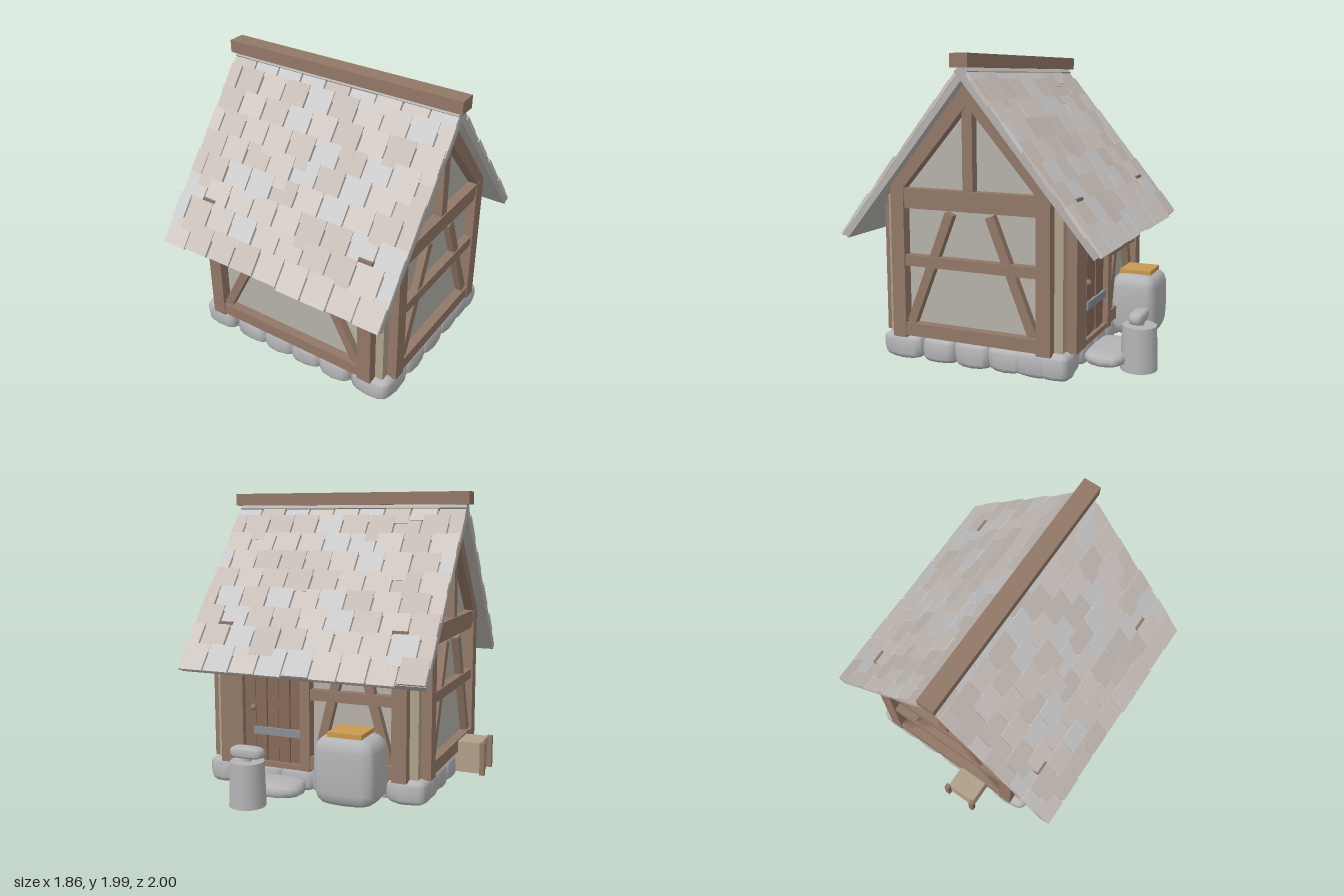
import * as THREE from 'three';
import { mergeVertices } from 'three/addons/utils/BufferGeometryUtils.js';

const mat = (color) => new THREE.MeshStandardMaterial({ color, roughness: 0.9 });
const timber = mat(0x927867), tan = mat(0xb0a08a), plaster = mat(0xb5b1a9), stoneMat = mat(0xb4b4b6);
const slate = [0xcfc6c0, 0xc6bdb7, 0xd0c8c3, 0xc5c6c3, 0xc9c0ba].map(mat);
const slabMat = mat(0xb4b1ad), iron = mat(0x8a8d92), doorWood = mat(0x85695a), plankMat = mat(0xc89a50);
const floorMat = mat(0x999999);

let seed = 7;
const rnd = () => (seed = (seed * 16807) % 2147483647) / 2147483647;
const points = (list) => list.map((p) => new THREE.Vector2(...p));

function add(parent, name, geo, material, x = 0, y = 0, z = 0) {
  const m = new THREE.Mesh(geo, material);
  m.name = name;
  m.position.set(x, y, z);
  parent.add(m);
  return m;
}

// Box given by its limits on each axis
function box(parent, name, material, [x0, x1], [y0, y1], [z0, z1]) {
  return add(parent, name, new THREE.BoxGeometry(x1 - x0, y1 - y0, z1 - z0), material,
    (x0 + x1) / 2, (y0 + y1) / 2, (z0 + z1) / 2);
}

// Rounded block: a sphere pushed towards a box, with slight irregularity
function stone(parent, name, w, h, d, x, y, z, jitter = 0.05, power = 0.5) {
  let g = new THREE.SphereGeometry(1, 16, 10);
  g.deleteAttribute('uv');
  g.deleteAttribute('normal');
  g = mergeVertices(g, 1e-4);
  const p = g.attributes.position, ph = rnd() * 6;
  const push = (v) => Math.sign(v) * Math.pow(Math.abs(v), power);
  for (let i = 0; i < p.count; i++) {
    const a = push(p.getX(i)), b = push(p.getY(i)), c = push(p.getZ(i));
    const k = 1 - jitter * (1 + Math.sin(a * 3 + ph) * Math.cos(b * 2 + c * 3 + ph)) / 2;
    p.setXYZ(i, a * k * w / 2, b * k * h / 2, c * k * d / 2);
  }
  g.computeVertexNormals();
  return add(parent, name, g, stoneMat, x, y, z);
}

// Slanted brace from one point to another on a wall panel
function brace(parent, x0, y0, x1, y1, width = 0.06) {
  const len = Math.hypot(x1 - x0, y1 - y0);
  const m = add(parent, 'brace', new THREE.BoxGeometry(width, len, 0.05), timber, (x0 + x1) / 2, (y0 + y1) / 2, 0.025);
  m.rotation.z = -Math.atan2(x1 - x0, y1 - y0);
}

// Timber frame: outer posts, sill, middle rail and top beam; z = 0 is the wall face
function frame(parent, name, outer, inner, top, from = -inner) {
  const g = new THREE.Group();
  g.name = name;
  parent.add(g);
  for (const s of [-1, 1]) {
    const [a, b] = [s * inner, s * outer].sort((p, q) => p - q);
    box(g, 'post', timber, [a, b], [0.165, top], [0, 0.07]);
  }
  box(g, 'sillBeam', timber, [from, inner], [0.18, 0.265], [0, 0.065]);
  box(g, 'middleRail', timber, [from, inner], [0.645, 0.715], [0, 0.06]);
  box(g, 'topBeam', timber, [-inner, inner], [1.02, 1.06], [0, 0.055]);
  return g;
}

function gable(parent, side) {
  const g = frame(parent, 'gableFrame', 0.555, 0.46, 1.15);
  box(g, 'tieBeam', timber, [-0.46, 0.46], [1.06, 1.15], [0, 0.065]);
  for (const s of [-1, 1]) brace(g, s * 0.43, 0.27, s * 0.14, 1.0);
  const tri = new THREE.Shape(points([[-0.555, 1.14], [0.555, 1.14], [0.555, 1.16], [0.022, 1.8], [0, 1.775], [-0.022, 1.8], [-0.555, 1.16]]));
  tri.holes.push(new THREE.Path(points([[-0.46, 1.15], [0, 1.68], [0.46, 1.15]])));
  add(g, 'rafters', new THREE.ExtrudeGeometry(tri, { depth: 0.068, bevelEnabled: false }), timber);
  box(g, 'kingPost', timber, [-0.035, 0.035], [1.14, 1.7], [0, 0.06]);
  g.position.x = side * 0.72;
  g.rotation.y = side * Math.PI / 2;
}

// One roof slope in its own plane: z runs down from the ridge, y points outwards
function roofSlope(parent, turn) {
  const turnGroup = new THREE.Group();
  turnGroup.name = 'roofSlope';
  turnGroup.rotation.y = turn;
  turnGroup.position.y = 1.922;
  parent.add(turnGroup);
  const g = new THREE.Group();
  g.name = 'slopePlane';
  g.rotation.x = Math.atan2(1.09, 0.91);
  turnGroup.add(g);
  box(g, 'roofBoard', slabMat, [-0.85, 0.85], [-0.061, -0.015], [0, 1.4]);
  const rows = 9, step = 0.157, w = 0.19, half = 0.855;
  for (let r = 0; r < rows; r++) {
    for (let c = -1; c < 10; c++) {
      const x0 = Math.max(-half, -half + (c + (r % 2) * 0.5) * w + 0.006);
      const x1 = Math.min(half, -half + (c + 1 + (r % 2) * 0.5) * w - 0.006);
      if (x1 - x0 < 0.03) continue;
      const end = Math.min(1.415, (r + 1) * step + (rnd() - 0.4) * 0.06);
      const start = r ? r * step - 0.04 : -0.015;
      const m = box(g, 'shingle', slate[Math.floor(rnd() * 5)], [x0, x1], [-0.02, -0.002 + rnd() * 0.008], [start, end]);
      m.rotation.x = 0.03;
    }
  }
}

function backWall(house) {
  const g = frame(house, 'backFrame', 0.665, 0.565, 1.13, 0.0);
  g.rotation.y = Math.PI;
  g.position.z = -0.61;
  brace(g, 0.54, 0.27, 0.33, 1.02);
  brace(g, 0.05, 0.27, 0.24, 1.02);
  // Door with planks, straps and knob
  for (const x of [-0.565, -0.07]) box(g, 'doorPost', timber, [x, x + 0.07], [0.165, 1.03], [0, 0.07]);
  box(g, 'threshold', timber, [-0.5, -0.07], [0.165, 0.2], [0, 0.065]);
  for (let i = 0; i < 5; i++) {
    const x = -0.493 + i * 0.085;
    box(g, 'doorPlank', doorWood, [x, x + 0.079], [0.2, 1.02], [0, 0.035 + (i % 2) * 0.006]);
  }
  for (const y of [0.38, 0.84]) box(g, 'doorStrap', iron, [-0.42, -0.07], [y, y + 0.05], [0.03, 0.055]);
  add(g, 'doorKnob', new THREE.SphereGeometry(0.022, 12, 8), timber, -0.42, 0.56, 0.055);
}

// Ring of stones given as [centre, width] along each wall
function foundation(root) {
  const g = new THREE.Group();
  g.name = 'foundation';
  root.add(g);
  const alongX = [[-0.595, 0.28], [-0.31, 0.29], [-0.065, 0.28], [0.165, 0.27], [0.4, 0.28], [0.675, 0.32]];
  const alongZ = [[0.6, 0.32], [0.33, 0.27], [0.09, 0.28], [-0.145, 0.27], [-0.32, 0.24], [-0.47, 0.22]];
  const size = () => 0.17 + rnd() * 0.015;
  for (const [x, w] of alongX)
    for (const z of [0.64, -0.455]) stone(g, 'foundationStone', w, size(), 0.24, x, 0.094, z, 0.1, 0.5);
  for (const [z, w] of alongZ)
    for (const x of [-0.62, 0.72]) stone(g, 'foundationStone', 0.24, size(), w, x, 0.094, z, 0.1, 0.5);
  box(g, 'floor', floorMat, [-0.68, 0.78], [0.035, 0.05], [-0.52, 0.7]);
}

export function createModel() {
  const root = new THREE.Group();
  root.name = 'cottage';
  const house = new THREE.Group();
  house.name = 'house';
  house.position.set(0.05, 0, 0.09);
  root.add(house);

  // Plaster walls with gable ends
  const profile = new THREE.Shape(points([[-0.61, 0.175], [0.61, 0.175], [0.61, 1.075], [0, 1.785], [-0.61, 1.075]]));
  const wallGeo = new THREE.ExtrudeGeometry(profile, { depth: 1.44, bevelEnabled: false });
  wallGeo.translate(0, 0, -0.72).rotateY(Math.PI / 2);
  add(house, 'walls', wallGeo, plaster);
  for (const sx of [-1, 1]) for (const sz of [-1, 1])
    add(house, 'cornerPost', new THREE.BoxGeometry(0.06, 0.92, 0.06), tan, sx * 0.693, 0.635, sz * 0.583);

  // Timber framing
  const front = frame(house, 'frontFrame', 0.665, 0.565, 1.13);
  front.position.z = 0.61;
  for (const s of [-1, 1]) brace(front, s * 0.54, 0.27, s * 0.15, 1.02);
  backWall(house);
  gable(house, 1);
  gable(house, -1);

  // Roof
  roofSlope(house, 0);
  roofSlope(house, Math.PI);
  box(house, 'ridgeBeam', timber, [-0.875, 0.878], [1.905, 1.99], [-0.06, 0.06]);

  foundation(root);

  // Doorstep, boulder with board, and churn behind the house
  stone(root, 'doorstep', 0.52, 0.1, 0.3, 0.3, 0.075, -0.68, 0.08, 0.6);
  stone(root, 'boulder', 0.43, 0.45, 0.34, -0.285, 0.265, -0.69, 0.02, 0.45);
  box(root, 'board', plankMat, [-0.4, -0.17], [0.48, 0.51], [-0.8, -0.58]);
  add(root, 'churn', new THREE.CylinderGeometry(0.11, 0.12, 0.29, 20), stoneMat, 0.35, 0.145, -0.88);
  add(root, 'churnNeck', new THREE.CylinderGeometry(0.03, 0.03, 0.05, 12), stoneMat, 0.35, 0.31, -0.88);
  stone(root, 'churnLid', 0.24, 0.08, 0.1, 0.35, 0.345, -0.875, 0.04, 0.6);

  // Crate against the side wall
  const crate = new THREE.Group();
  crate.name = 'crate';
  root.add(crate);
  box(crate, 'crateBody', tan, [-0.9, -0.67], [0.035, 0.255], [0.2, 0.42]);
  for (const z of [0.18, 0.4]) box(crate, 'cratePost', timber, [-0.93, -0.895], [0.03, 0.26], [z, z + 0.035]);
  return root;
}
